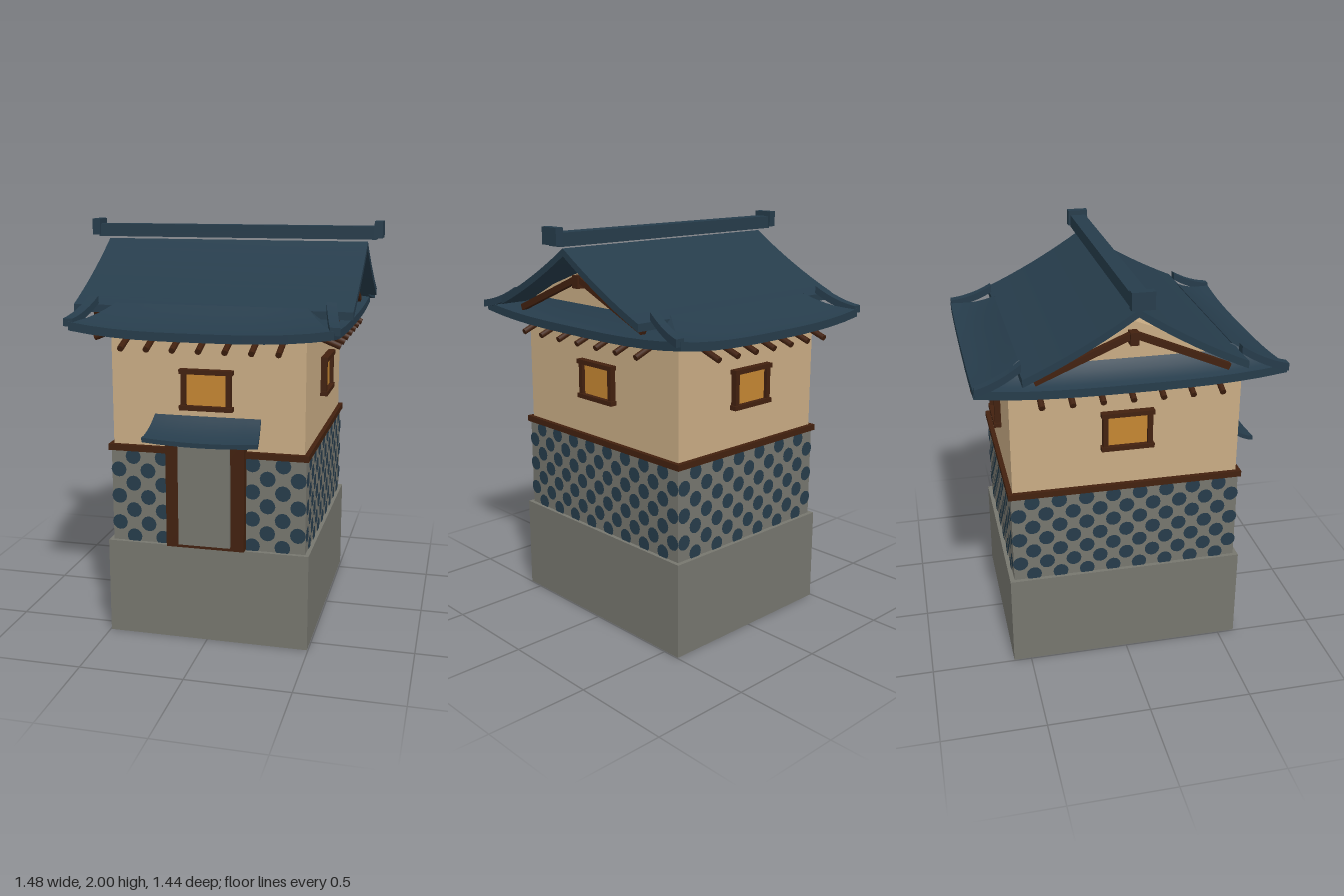
import * as THREE from 'three';
import { toCreasedNormals } from 'three/addons/utils/BufferGeometryUtils.js';

const mat = (name, color) => {
  const m = new THREE.MeshStandardMaterial({ color });
  m.name = name;
  return m;
};

export function createModel() {
  const root = new THREE.Group();
  root.name = 'watchtower';
  const tile = mat('slate blue tile', 0x263c4b);
  const plaster = mat('cream plaster', 0xc9ac84);
  const stone = mat('grey stone', 0x76766e);
  const wood = mat('dark wood', 0x42210f);
  const glow = mat('amber pane', 0xc48632);

  const add = (name, geo, m, parent = root) => {
    const mesh = new THREE.Mesh(geo, m);
    mesh.name = name;
    parent.add(mesh);
    return mesh;
  };
  const group = (name, angle = 0) => {
    const g = new THREE.Group();
    g.name = name;
    g.rotation.y = angle;
    root.add(g);
    return g;
  };
  // Box given by its lower and upper limits
  const box = (name, m, [x0, x1], [y0, y1], [z0, z1], parent) => {
    const b = add(name, new THREE.BoxGeometry(x1 - x0, y1 - y0, z1 - z0), m, parent);
    b.position.set((x0 + x1) / 2, (y0 + y1) / 2, (z0 + z1) / 2);
    return b;
  };
  // Closed curved slab: u runs outward (+z), v runs along +x, t is the thickness
  const slab = (f, nu, nv, t) => {
    const pos = [];
    const p = (i, j, k) => {
      const [x, y, z] = f(i / nu, j / nv);
      return [x, y - k * t, z];
    };
    const quad = (a, b, c, d) => pos.push(...a, ...b, ...c, ...a, ...c, ...d);
    for (let i = 0; i < nu; i++) for (let j = 0; j < nv; j++) {
      quad(p(i, j, 0), p(i + 1, j, 0), p(i + 1, j + 1, 0), p(i, j + 1, 0));
      quad(p(i, j, 1), p(i, j + 1, 1), p(i + 1, j + 1, 1), p(i + 1, j, 1));
    }
    for (let i = 0; i < nu; i++) {
      quad(p(i, 0, 0), p(i, 0, 1), p(i + 1, 0, 1), p(i + 1, 0, 0));
      quad(p(i, nv, 0), p(i + 1, nv, 0), p(i + 1, nv, 1), p(i, nv, 1));
    }
    for (let j = 0; j < nv; j++) {
      quad(p(0, j, 0), p(0, j + 1, 0), p(0, j + 1, 1), p(0, j, 1));
      quad(p(nu, j, 0), p(nu, j, 1), p(nu, j + 1, 1), p(nu, j + 1, 0));
    }
    const g = new THREE.BufferGeometry();
    g.setAttribute('position', new THREE.Float32BufferAttribute(pos, 3));
    return toCreasedNormals(g, 0.5);
  };
  // Straight bar between two points
  const bar = (name, geo, m, a, b, parent) => {
    const from = new THREE.Vector3(...a), to = new THREE.Vector3(...b);
    const mesh = add(name, geo(from.distanceTo(to)), m, parent);
    mesh.position.copy(from).lerp(to, 0.5);
    mesh.quaternion.setFromUnitVectors(new THREE.Vector3(0, 1, 0), to.sub(from).normalize());
  };

  // Stacked walls
  box('stoneBase', stone, [-0.495, 0.495], [0, 0.475], [-0.587, 0.587]);
  box('tiledWall', stone, [-0.475, 0.475], [0.475, 0.935], [-0.565, 0.565]);
  box('trimBand', wood, [-0.487, 0.487], [0.93, 0.96], [-0.578, 0.578]);
  box('upperWall', plaster, [-0.465, 0.465], [0.96, 1.55], [-0.555, 0.555]);

  // Each side: half width hw, distance out d
  const sides = [
    { name: 'front', a: 0, hw: 0.475, d: 0.565, cols: 12, step: 0.0733, raft: 0.122, eave: [0.46, 0.61, 0.50, 0.72] },
    { name: 'right', a: Math.PI / 2, hw: 0.565, d: 0.475, cols: 16, step: 0.0665, raft: 0.14, eave: [0.50, 0.72, 0.46, 0.61] },
    { name: 'back', a: Math.PI, hw: 0.475, d: 0.565, cols: 12, step: 0.0733, raft: 0.122, eave: [0.46, 0.61, 0.50, 0.72] },
    { name: 'left', a: -Math.PI / 2, hw: 0.565, d: 0.475, cols: 16, step: 0.0665, raft: 0.14, eave: [0.50, 0.72, 0.46, 0.61] },
  ];
  const disc = new THREE.CircleGeometry(0.038, 12);
  const rafterGeo = (l) => new THREE.CylinderGeometry(0.015, 0.015, l, 8);
  for (const s of sides) {
    const g = group(s.name + 'Side', s.a);

    // Staggered round wall tiles
    for (let r = 0; r < 7; r++) for (let c = 0; c <= s.cols; c++) {
      if ((r + c) % 2 === 0) continue;
      const x = (c - s.cols / 2) * s.step;
      if (s.name === 'front' && Math.abs(x) < 0.14) continue;
      add('wallTile', disc, tile, g).position.set(x, 0.5 + r * 0.067, s.d + 0.004);
    }

    // Framed window
    const w = s.d - 0.01;
    box('windowPane', glow, [-0.105, 0.105], [1.165, 1.325], [w - 0.01, w + 0.012], g);
    for (const k of [-1, 1]) {
      box('windowPost', wood, [k * 0.108 - 0.012, k * 0.108 + 0.012], [1.16, 1.33], [w - 0.01, w + 0.03], g);
      const y = 1.245 + k * 0.086;
      box('windowRail', wood, [-0.128, 0.128], [y - 0.011, y + 0.011], [w - 0.01, w + 0.036], g);
    }

    // Rafter ends under the eaves
    const [xi, xo, zi, zo] = s.eave;
    for (let i = -3; i <= 3; i++) {
      bar('rafter', rafterGeo, wood, [i * s.raft, 1.51, s.d - 0.03], [i * s.raft, 1.448, zo - 0.01], g);
    }

    // Lower eave with raised corners
    add('lowerEave', slab((u, v) => {
      const k = 2 * v - 1;
      const y = 1.63 - 0.1 * (1 - (1 - u) ** 1.6) + 0.035 * u * Math.abs(k) ** 3;
      return [k * (xi + (xo - xi) * u), y, zi + (zo - zi) * u];
    }, 5, 12, 0.04), tile, g);
  }

  // Gable wall under the main roof
  const tri = new THREE.Shape([[-0.48, 1.62], [0.48, 1.62], [0, 1.8]].map((p) => new THREE.Vector2(...p)));
  const gable = new THREE.ExtrudeGeometry(tri, { depth: 1.02, bevelEnabled: false });
  gable.translate(0, 0, -0.51).rotateY(Math.PI / 2);
  add('gableWall', gable, plaster);

  // Main roof slopes, mirrored front and back
  for (const a of [0, Math.PI]) {
    const g = group('mainRoof', a);
    add('roofSlope', slab((u, v) => [
      (2 * v - 1) * 0.665, 1.9 - 0.28 * u - 0.06 * u * (1 - u), 0.512 * u,
    ], 8, 1, 0.036), tile, g);
  }

  // Gable timbers
  for (const k of [-1, 1]) {
    const x = k * 0.575;
    for (const q of [-1, 1]) {
      bar('gableBeam', (l) => new THREE.BoxGeometry(0.03, l, 0.03), wood, [x, 1.757, 0], [x, 1.567, q * 0.45]);
    }
    box('gablePost', wood, [x - 0.025, x + 0.025], [1.71, 1.77], [-0.02, 0.02]);
  }

  // Ridge beam with end caps
  box('ridgeBeam', tile, [-0.71, 0.71], [1.912, 1.975], [-0.04, 0.04]);
  for (const k of [-1, 1]) {
    box('ridgeCap', tile, [k * 0.72 - 0.02, k * 0.72 + 0.02], [1.92, 2], [-0.052, 0.052]);
  }

  // Corner hip ridges
  for (const a of [0, Math.PI]) {
    const g = group('hipRidges', a);
    for (const k of [-1, 1]) {
      add('hipRidge', slab((u, v) => [
        k * (0.565 + 0.048 * u) + (v - 0.5) * 0.046,
        1.662 - 0.135 * u + 0.052 * u * u,
        0.505 + 0.212 * u,
      ], 6, 1, 0.036), tile, g);
    }
  }

  // Doorway
  box('doorFrame', wood, [-0.19, 0.19], [0.48, 1.03], [0.55, 0.615]);
  box('doorPanel', stone, [-0.125, 0.125], [0.5, 1.0], [0.6, 0.633]);

  // Curved canopy over the door
  add('doorCanopy', slab((u, v) => {
    const k = 2 * v - 1;
    const y = 1.125 - 0.1 * (1 - (1 - u) ** 1.6) + 0.012 * u * k * k;
    return [k * (0.255 + 0.02 * u), y, 0.545 + 0.163 * u];
  }, 6, 8, 0.022), tile);

  return root;
}
